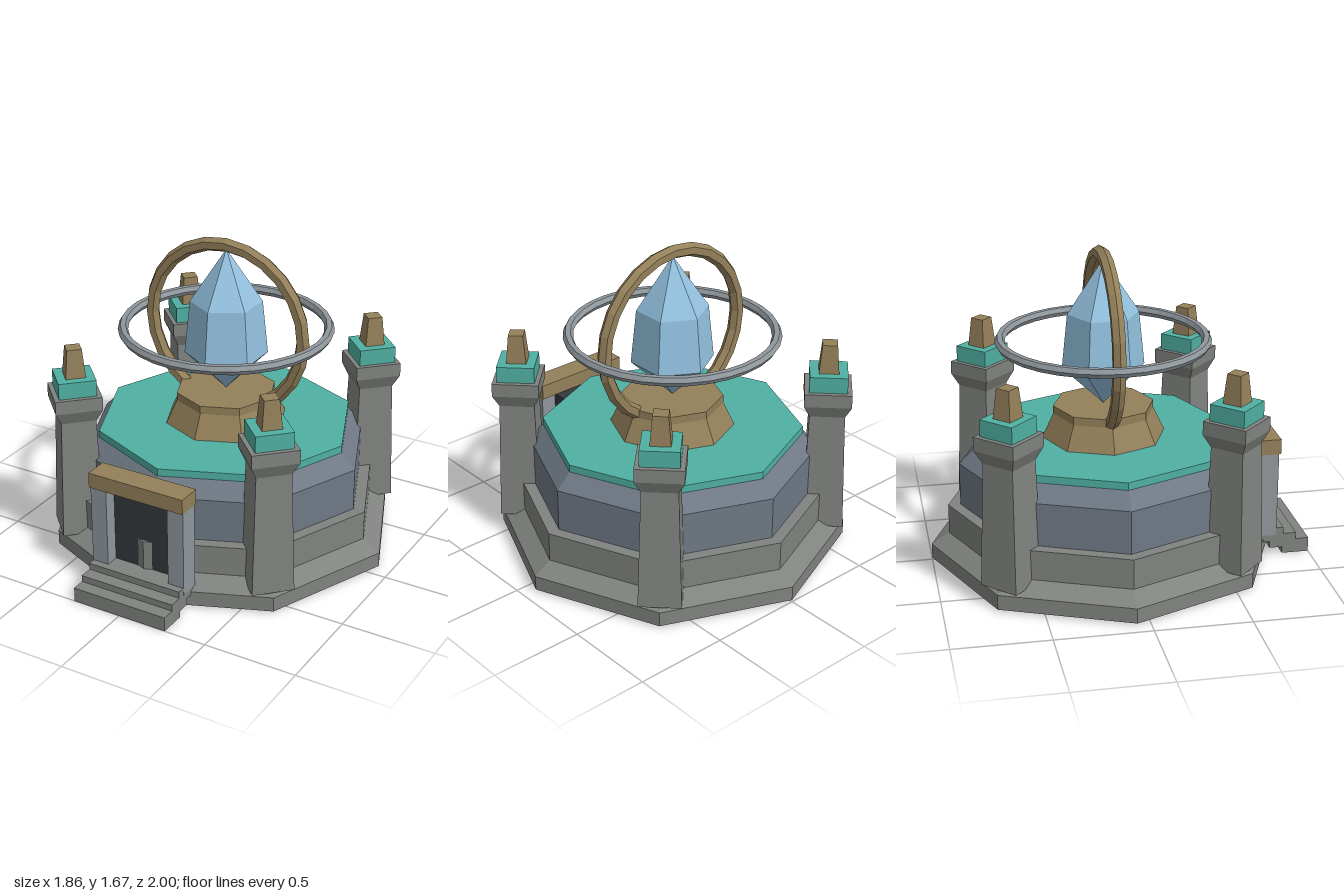
import * as THREE from 'three';

const mat = (color) => new THREE.MeshStandardMaterial({ color, flatShading: true });

export function createModel() {
  const stone = mat(0x80837f), wallStone = mat(0x6f7985), paleStone = mat(0x8f979c);
  const teal = mat(0x4fb0a2), bronze = mat(0x94805a), dark = mat(0x34383b), crystalBlue = mat(0x93c1df);

  const model = new THREE.Group();
  const temple = new THREE.Group();
  temple.name = 'temple';
  temple.position.z = -0.07;
  model.add(temple);

  const add = (parent, name, geometry, material, x = 0, y = 0, z = 0) => {
    const mesh = new THREE.Mesh(geometry, material);
    mesh.name = name;
    mesh.position.set(x, y, z);
    parent.add(mesh);
    return mesh;
  };
  // Closed faceted solid from [radius, height] pairs, bottom to top
  const faceted = (parent, name, sides, material, rings) => {
    const profile = [[0, rings[0][1]], ...rings, [0, rings[rings.length - 1][1]]];
    const points = profile.map(([r, y]) => new THREE.Vector2(r, y));
    return add(parent, name, new THREE.LatheGeometry(points, sides), material);
  };
  const block = (name, material, w, h, d, x, y, z) =>
    add(model, name, new THREE.BoxGeometry(w, h, d), material, x, y, z);

  // Octagonal body
  faceted(temple, 'plinth', 8, stone, [[0.93, 0.01], [0.93, 0.09], [0.835, 0.15], [0.835, 0.31]]);
  faceted(temple, 'wall', 8, wallStone, [[0.77, 0.3], [0.77, 0.54], [0.69, 0.62]]);
  faceted(temple, 'deck', 8, teal, [[0.69, 0.62], [0.69, 0.66]]);
  faceted(temple, 'dais', 8, bronze, [[0.33, 0.655], [0.268, 0.787], [0.268, 0.83]]);

  // Crystal and the two rings around it
  faceted(temple, 'crystal', 6, crystalBlue, [[0.001, 0.83], [0.219, 1.035], [0.189, 1.325], [0.001, 1.61]]);
  add(temple, 'uprightRing', new THREE.TorusGeometry(0.451, 0.037, 6, 24), bronze, 0, 1.182, 0);
  const levelRing = add(temple, 'levelRing', new THREE.TorusGeometry(0.538, 0.027, 6, 32), paleStone, 0, 1.182, 0);
  levelRing.rotation.x = Math.PI / 2;

  // Corner pillars with caps and finials
  for (const sx of [-1, 1]) {
    for (const sz of [-1, 1]) {
      const pillar = new THREE.Group();
      pillar.name = 'pillar';
      pillar.position.set(sx * 0.573, 0, sz * 0.573);
      temple.add(pillar);
      faceted(pillar, 'pillarShaft', 4, stone,
        [[0.156, 0.115], [0.13, 0.77], [0.174, 0.84], [0.174, 0.912]]);
      faceted(pillar, 'pillarCap', 4, teal, [[0.14, 0.91], [0.14, 1.0]]);
      faceted(pillar, 'finial', 4, bronze, [[0.075, 0.995], [0.055, 1.155]]);
    }
  }

  // Doorway
  block('door', dark, 0.37, 0.44, 0.13, 0, 0.36, 0.683);
  for (const s of [-1, 1]) block('doorPost', paleStone, 0.092, 0.47, 0.11, s * 0.226, 0.345, 0.765);
  block('lintel', bronze, 0.55, 0.082, 0.13, 0, 0.619, 0.765);

  // Overlapping entrance steps
  for (let i = 0; i < 3; i++) {
    block('step', stone, 0.54, 0.078, 0.145, 0, 0.039 + i * 0.036, 0.9275 - i * 0.07);
  }
  return model;
}
